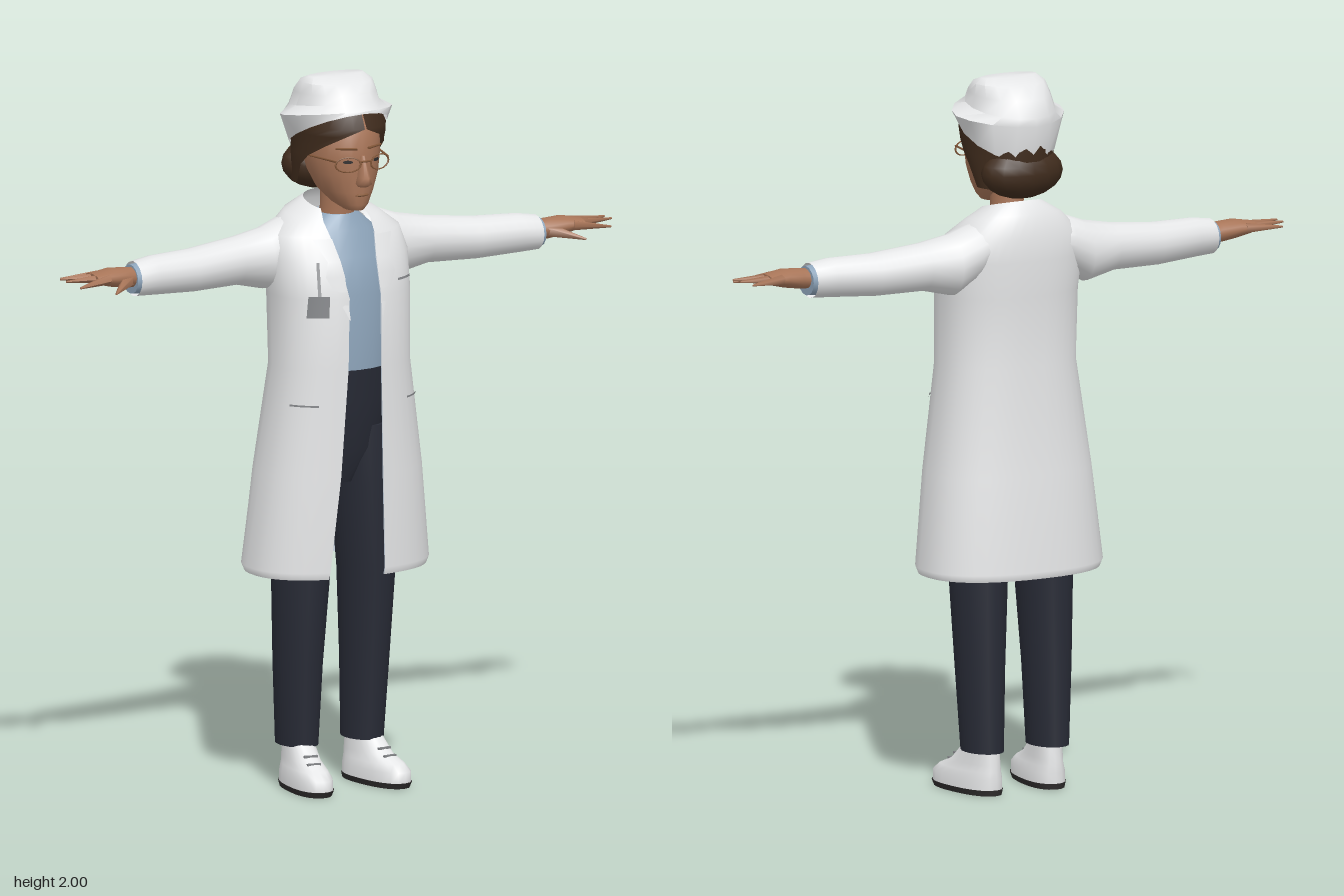
import * as THREE from 'three';
import { toCreasedNormals } from 'three/addons/utils/BufferGeometryUtils.js';

const flat = (name, color, side = THREE.FrontSide) =>
  Object.assign(new THREE.MeshStandardMaterial({ color, side }), { name });

// Ring around the y axis, starting at the front; xl and xr leave a front gap between them
function ring(y, rx, zf, zb, { cx = 0, tilt = 0, xl, xr, p = 1, n = 20 } = {}) {
  const open = xr !== undefined;
  const at = x => Math.sign(x) * Math.asin(Math.pow(Math.min(1, Math.abs(x) / rx), 1 / p));
  const a0 = open ? at(xr) : 0, a1 = 2 * Math.PI + (open ? at(xl) : 0);
  const pow = v => Math.sign(v) * Math.pow(Math.abs(v), p);
  return Array.from({ length: open ? n + 1 : n }, (_, i) => {
    const a = a0 + (a1 - a0) * i / n;
    const z = (zf + zb) / 2 + (zf - zb) / 2 * pow(Math.cos(a));
    return [cx + rx * pow(Math.sin(a)), y + tilt * z, z];
  });
}

// Skin between rows of points, with optional flat caps
function loft(rows, { closed = true, bottom = false, top = false } = {}) {
  const pos = rows.flat(2), idx = [], n = rows[0].length, cols = closed ? n : n - 1;
  for (let r = 0; r < rows.length - 1; r++) for (let c = 0; c < cols; c++) {
    const a = r * n + c, b = r * n + (c + 1) % n;
    idx.push(a, b, b + n, a, b + n, a + n);
  }
  const cap = (row, up) => {
    const s = pos.length / 3;
    pos.push(...row.flat(), ...[0, 1, 2].map(k => row.reduce((t, q) => t + q[k], 0) / n));
    for (let c = 0; c < n; c++) {
      const d = (c + 1) % n;
      idx.push(s + n, s + (up ? c : d), s + (up ? d : c));
    }
  };
  if (bottom) cap(rows[0], false);
  if (top) cap(rows[rows.length - 1], true);
  const g = new THREE.BufferGeometry();
  g.setAttribute('position', new THREE.Float32BufferAttribute(pos, 3));
  g.setIndex(idx);
  g.computeVertexNormals();
  return g;
}

// Mirror a geometry across x = 0, keeping its faces outward
function mirrored(geo) {
  const g = geo.clone().scale(-1, 1, 1), ix = g.index.array;
  for (let i = 0; i < ix.length; i += 3) [ix[i], ix[i + 1]] = [ix[i + 1], ix[i]];
  g.computeVertexNormals();
  return g;
}

// Tapered rod between two points
function rod(from, to, r0, r1, sides = 5) {
  const a = new THREE.Vector3(...from), b = new THREE.Vector3(...to), d = b.clone().sub(a);
  const g = new THREE.CylinderGeometry(r1, r0, d.length(), sides);
  g.applyQuaternion(new THREE.Quaternion().setFromUnitVectors(new THREE.Vector3(0, 1, 0), d.normalize()));
  return g.translate(...a.add(b).multiplyScalar(0.5).toArray());
}

// Coat sections: height, half width, front z, back z, opening edges, tilt
const P = 0.85;
const COAT = [
  [0.615, 0.262, 0.174, -0.18, -0.115, 0.055, 0], [0.635, 0.27, 0.18, -0.187, -0.114, 0.055, 0],
  [0.9, 0.243, 0.175, -0.16, -0.08, 0.052, 0],
  [1.2, 0.2, 0.17, -0.132, -0.055, 0.05, 0], [1.4, 0.203, 0.167, -0.14, -0.05, 0.05, 0],
  [1.5, 0.212, 0.13, -0.146, -0.06, 0.056, 0], [1.565, 0.195, 0.1, -0.14, -0.072, 0.068, 0],
  [1.61, 0.135, 0.075, -0.125, -0.075, 0.072, -0.15], [1.64, 0.08, 0.055, -0.09, -0.065, 0.063, -0.25],
];
const coatShell = (sections, inset) => loft(sections.map(([y, rx, zf, zb, xl, xr, tilt]) =>
  ring(y, rx - inset, zf - inset, zb + inset, { xl, xr, tilt, p: P, n: 36 })), { closed: false });
function coatZ(x, y) {
  let i = 0;
  while (i < COAT.length - 2 && COAT[i + 1][0] < y) i++;
  const t = (y - COAT[i][0]) / (COAT[i + 1][0] - COAT[i][0]);
  const [, rx, zf, zb] = COAT[i].map((v, k) => v + (COAT[i + 1][k] - v) * t);
  const s = Math.pow(Math.min(1, Math.abs(x) / rx), 1 / P);
  return (zf + zb) / 2 + (zf - zb) / 2 * Math.pow(Math.sqrt(1 - s * s), P);
}
// Thin patch lying on the coat front; each row is height, left x, right x
const patch = (rows, off) => loft(rows.map(([y, a, b]) => Array.from({ length: 7 }, (_, i) => {
  const x = a + (b - a) * i / 6;
  return [x, y, coatZ(x, y) + off];
})), { closed: false });

export function createModel() {
  const model = new THREE.Group();
  const white = flat('white cloth', 0xe6e7e8, THREE.DoubleSide);
  const lining = flat('coat lining', 0xb4bfcb, THREE.DoubleSide);
  const skin = flat('skin', 0xa87558, THREE.DoubleSide);
  const hairMat = flat('brown hair', 0x402c1d, THREE.DoubleSide);
  const navy = flat('dark trousers', 0x282b36, THREE.DoubleSide);
  const blue = flat('blue shirt', 0x8fa6bc, THREE.DoubleSide);
  const dark = flat('dark rubber', 0x2f2d2d);
  const frame = flat('spectacle frame', 0x85593a);
  const grey = flat('grey detail', 0x85878a, THREE.DoubleSide);
  const add = (name, geo, mat) => {
    const m = new THREE.Mesh(geo, mat);
    m.name = name;
    model.add(m);
  };
  const pair = (name, geo, mat) => {
    add('left' + name, geo, mat);
    add('right' + name, mirrored(geo), mat);
  };

  // Coat body, lined below the collar
  add('coat', coatShell(COAT, 0), white);
  add('coatLining', coatShell(COAT.slice(0, 7), 0.004), lining);

  // Sleeves and shirt cuffs: x, centre y, half height, front z, back z
  const alongX = (rows, opts) => loft(rows.map(([x, cy, ry, zf, zb]) =>
    ring(x, ry, zf, zb, { cx: -cy, n: 16 })), opts).rotateZ(-Math.PI / 2);
  pair('Sleeve', alongX([
    [0.1, 1.545, 0.05, 0.02, -0.115], [0.15, 1.525, 0.078, 0.04, -0.128], [0.21, 1.495, 0.086, 0.036, -0.12],
    [0.3, 1.497, 0.067, 0.032, -0.108], [0.45, 1.488, 0.06, 0.038, -0.09], [0.58, 1.49, 0.055, 0.045, -0.068],
    [0.64, 1.487, 0.049, 0.043, -0.058],
  ]), white);
  pair('ShirtCuff', alongX([[0.61, 1.487, 0.044, 0.038, -0.052], [0.65, 1.487, 0.041, 0.037, -0.05]], { top: true }), blue);

  // Hands with pointed fingers
  pair('Palm', alongX([
    [0.63, 1.492, 0.027, 0.026, -0.037], [0.67, 1.495, 0.029, 0.034, -0.037],
    [0.72, 1.5, 0.026, 0.042, -0.044], [0.775, 1.502, 0.014, 0.04, -0.044],
  ], { top: true }), skin);
  [[0.03, 0.845, 1.492, 0.056], [0.01, 0.868, 1.506, 0.018], [-0.012, 0.866, 1.506, -0.018], [-0.032, 0.845, 1.5, -0.052]]
    .forEach(([z0, x1, y1, z1]) => pair('Finger', rod([0.74, 1.502, z0], [x1, y1, z1], 0.015, 0.003), skin));
  pair('Thumb', rod([0.665, 1.492, 0.012], [0.748, 1.471, 0.086], 0.021, 0.003), skin);

  // Lapels, pocket seams and small items on the coat
  add('leftLapel', patch([[1.34, 0.051, 0.053], [1.46, 0.054, 0.11], [1.5, 0.057, 0.098], [1.56, 0.068, 0.125]], 0.007), white);
  add('rightLapel', patch([[1.34, -0.053, -0.051], [1.46, -0.11, -0.056], [1.5, -0.098, -0.061], [1.56, -0.125, -0.072]], 0.007), white);
  add('leftPocketSeam', patch([[1.1, 0.14, 0.2], [1.105, 0.14, 0.2]], 0.008), grey);
  add('rightPocketSeam', patch([[1.1, -0.2, -0.14], [1.105, -0.2, -0.14]], 0.008), grey);
  add('badge', patch([[1.35, -0.165, -0.112], [1.41, -0.16, -0.108]], 0.009), grey);
  add('badgeClip', patch([[1.41, -0.138, -0.13], [1.5, -0.13, -0.122]], 0.009), grey);
  add('breastPocketEdge', patch([[1.432, 0.115, 0.175], [1.438, 0.115, 0.175]], 0.008), grey);

  // Shirt and neck
  add('shirt', loft([[1.188, 0.15, 0.13, -0.1], [1.4, 0.155, 0.135, -0.1], [1.5, 0.15, 0.105, -0.11],
    [1.57, 0.115, 0.078, -0.1], [1.615, 0.06, 0.058, -0.07]].map(r => ring(...r)), { bottom: true, top: true }), blue);
  add('neck', loft([[1.57, 0.055, 0.055, -0.06], [1.63, 0.045, 0.058, -0.045], [1.71, 0.045, 0.065, -0.045]]
    .map(r => ring(...r))), skin);

  // Trousers
  add('trouserHips', loft([[0.86, 0.05, 0.06, -0.08], [0.96, 0.14, 0.1, -0.11], [1.1, 0.155, 0.118, -0.115],
    [1.187, 0.15, 0.129, -0.105]].map(r => ring(...r)), { bottom: true }), navy);
  pair('TrouserLeg', loft([[0.12, 0.054, 0.04, -0.11, 0.104], [0.35, 0.064, 0.058, -0.11, 0.106],
    [0.6, 0.076, 0.083, -0.11, 0.104], [0.85, 0.084, 0.1, -0.11, 0.086], [1.02, 0.078, 0.1, -0.11, 0.075]]
    .map(([y, rx, zf, zb, cx]) => ring(y, rx, zf, zb, { cx })), { bottom: true, top: true }), navy);

  // Shoes, soles and laces, turned slightly outward
  const toeOut = g => g.rotateY(0.14).translate(0.108, 0, 0);
  const shoeRings = rows => rows.map(r => ring(...r, { p: 0.85 }));
  pair('Shoe', toeOut(loft(shoeRings([[0.014, 0.056, 0.162, -0.1], [0.045, 0.055, 0.162, -0.1],
    [0.065, 0.048, 0.135, -0.098], [0.085, 0.043, 0.085, -0.096], [0.13, 0.038, 0.035, -0.09]]), { top: true })), white);
  pair('Sole', toeOut(loft(shoeRings([[0, 0.053, 0.158, -0.1], [0.016, 0.058, 0.166, -0.102]]),
    { bottom: true, top: true })), dark);
  [[0.082, 0.09], [0.1, 0.066]].forEach(([y, z]) =>
    pair('Lace', toeOut(new THREE.BoxGeometry(0.04, 0.006, 0.008).translate(0, y, z)), grey));

  // Head, nose and mouth
  add('head', loft([[1.638, 0.025, 0.135, 0.06], [1.655, 0.045, 0.147, 0.0], [1.69, 0.072, 0.148, -0.05],
    [1.74, 0.094, 0.15, -0.08], [1.79, 0.104, 0.15, -0.1], [1.86, 0.107, 0.145, -0.11],
    [1.93, 0.08, 0.1, -0.08]].map(r => ring(...r)), { bottom: true, top: true }), skin);
  add('nose', loft([[1.708, 0.014, 0.165, 0.12], [1.718, 0.021, 0.186, 0.12], [1.735, 0.017, 0.182, 0.12],
    [1.795, 0.009, 0.156, 0.12]].map(r => ring(...r, { n: 10 })), { bottom: true, top: true }), skin);
  add('mouth', new THREE.SphereGeometry(1, 12, 6).scale(0.022, 0.004, 0.006).translate(0, 1.683, 0.145), frame);

  // Eyes, brows and spectacles
  pair('Eye', new THREE.CircleGeometry(1, 12).scale(0.014, 0.005, 1).rotateY(0.5).translate(0.045, 1.78, 0.146), dark);
  pair('Brow', rod([0.018, 1.815, 0.15], [0.072, 1.816, 0.124], 0.004, 0.003), frame);
  pair('SpectacleRim', new THREE.TorusGeometry(0.03, 0.0025, 5, 16).scale(1.2, 0.7, 1).rotateY(0.3).translate(0.05, 1.775, 0.156), frame);
  pair('SpectacleArm', rod([0.083, 1.785, 0.146], [0.116, 1.79, 0.0], 0.003, 0.003), frame);
  add('spectacleBridge', rod([-0.018, 1.782, 0.166], [0.018, 1.782, 0.166], 0.003, 0.003), frame);

  // Hair, open around the face, with a low roll at the back
  add('hair', loft([[1.7, 0.112, 0.07, -0.13, 0.1115], [1.76, 0.12, 0.12, -0.135, 0.1185], [1.79, 0.121, 0.145, -0.138, 0.115],
    [1.82, 0.122, 0.158, -0.14, 0.096], [1.85, 0.124, 0.164, -0.14, 0.055], [1.872, 0.125, 0.167, -0.14, 0.003],
    [1.925, 0.105, 0.14, -0.12, 0.001]]
    .map(([y, rx, zf, zb, x]) => ring(y, rx, zf, zb, { xl: -x, xr: x, n: 24 })), { closed: false }), hairMat);
  add('hairRoll', new THREE.SphereGeometry(1, 16, 10).scale(0.124, 0.075, 0.073).translate(0, 1.742, -0.074), hairMat);

  // Cap with a turned-up band pointed at the sides
  const cap = loft([[1.84, 0.133, 0.163, -0.134, 0.46, 1], [1.9, 0.165, 0.162, -0.157, 0.13, 1.2],
    [1.922, 0.12, 0.135, -0.154, 0.13, 1], [1.955, 0.11, 0.12, -0.13, 0.05, 0.95],
    [1.985, 0.103, 0.085, -0.085, 0, 0.9], [2.0, 0.085, 0.035, -0.035, 0, 0.9]]
    .map(([y, rx, zf, zb, tilt, p]) => ring(y, rx, zf, zb, { tilt, p, n: 16 })), { top: true });
  add('cap', toCreasedNormals(cap, 0.75), white);

  return model;
}
